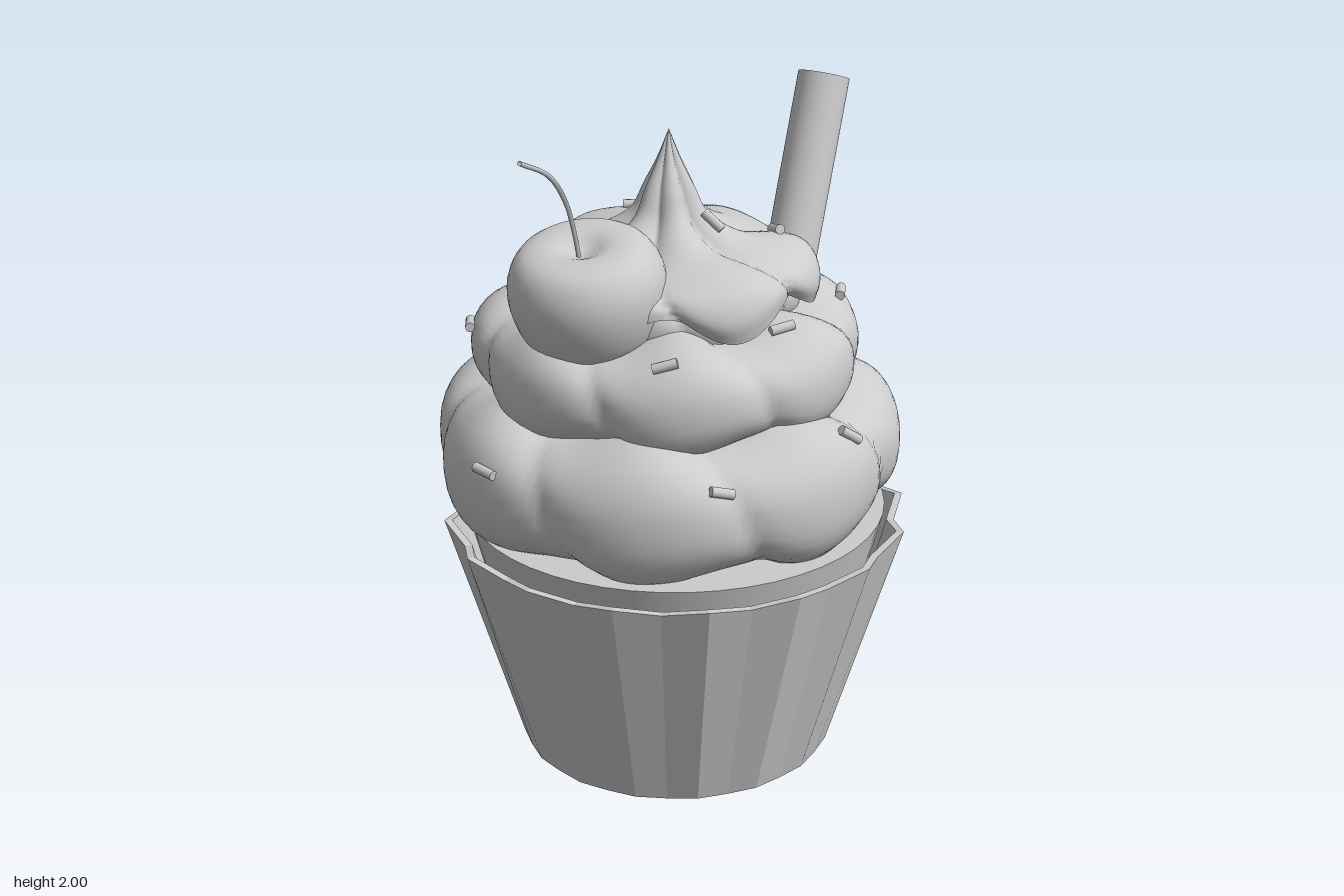
import * as THREE from 'three';

const TAU = Math.PI * 2;
const grey = (opts = {}) => new THREE.MeshStandardMaterial({ color: 0xcccccc, ...opts });
const softPow = (v, e) => Math.sign(v) * Math.pow(Math.abs(v), e);

// Surface swept around a vertical axis; fn(theta, t, i, j) returns [radius, y].
function sweep(cols, rows, cx, cz, closed, fn) {
  const pos = [], index = [];
  const rings = closed ? rows : rows + 1;
  for (let j = 0; j < rings; j++) {
    for (let i = 0; i < cols; i++) {
      const th = (i / cols) * TAU;
      const [r, y] = fn(th, j / rows, i, j);
      pos.push(cx + r * Math.cos(th), y, cz + r * Math.sin(th));
    }
  }
  for (let j = 0; j < rows; j++) {
    for (let i = 0; i < cols; i++) {
      const i2 = (i + 1) % cols, j2 = (j + 1) % rings;
      const a = j * cols + i, b = j * cols + i2, c = j2 * cols + i, d = j2 * cols + i2;
      index.push(a, c, b, b, c, d);
    }
  }
  const g = new THREE.BufferGeometry();
  g.setAttribute('position', new THREE.Float32BufferAttribute(pos, 3));
  g.setIndex(index);
  g.computeVertexNormals();
  return g;
}

// One shared normal per four-sided panel, so slightly twisted panels read as flat.
function panelled(geo) {
  const g = geo.toNonIndexed();
  g.computeVertexNormals();
  const nor = g.attributes.normal, a = new THREE.Vector3(), b = new THREE.Vector3();
  for (let k = 0; k < nor.count; k += 6) {
    a.fromBufferAttribute(nor, k).add(b.fromBufferAttribute(nor, k + 3)).normalize();
    for (let m = 0; m < 6; m++) nor.setXYZ(k + m, a.x, a.y, a.z);
  }
  return g;
}

export function createModel() {
  const root = new THREE.Group();
  const add = (name, geo, mat = grey(), parent = root) => {
    const m = new THREE.Mesh(geo, mat);
    m.name = name;
    parent.add(m);
    return m;
  };

  // Pleated paper cup: round at the base, 16 pleats at the rim, thin inner wall
  const CX = -0.045, CZ = 0.025;
  const cupRows = [
    // [radius in the pleat valley, radius on the ridge, y in the valley, y on the ridge]
    [0, 0, 0, 0], [0.472, 0.477, 0, 0], [0.66, 0.7, 0.712, 0.738],
    [0.637, 0.677, 0.712, 0.738], [0.57, 0.6, 0.45, 0.45],
  ];
  const cup = sweep(32, 4, CX, CZ, false, (th, t, i, j) => {
    const [rv, rr, yv, yr] = cupRows[j];
    return i % 2 ? [rv, yv] : [rr, yr];
  });
  // turn the pleats so that a ridge lies just beside the front centre
  cup.translate(-CX, 0, -CZ).rotateY(0.07).translate(CX, 0, CZ);
  add('paperCup', panelled(cup), grey({ side: THREE.DoubleSide }));

  // Cake showing just above the rim
  const cake = new THREE.CylinderGeometry(0.63, 0.55, 0.31, 48);
  add('cake', cake.translate(CX, 0.615, CZ));

  // Piped frosting: stacked rings of slanting, puffy lobes
  const frosting = new THREE.Group();
  frosting.name = 'frosting';
  root.add(frosting);
  const FX = -0.047, FZ = -0.027;
  const tiers = [
    { name: 'lowerSwirl', y: 0.95, h: 0.22, r: 0.42, a: 0.285, n: 7, ph: 0.8 },
    { name: 'middleSwirl', y: 1.25, h: 0.17, r: 0.32, a: 0.265, n: 7, ph: 2.2 },
    { name: 'upperSwirl', y: 1.43, h: 0.11, r: 0.21, a: 0.185, n: 6, ph: 1.2 },
  ];
  for (const { name, y, h, r, a, n, ph } of tiers) {
    const geo = sweep(168, 40, FX, FZ, true, (th, t) => {
      const f = t * TAU;
      const u = n * th - f + ph;
      const s = 0.83 + 0.17 * Math.pow(Math.abs(Math.sin(u / 2)), 0.75);
      return [r + a * s * softPow(Math.cos(f), 0.8),
        y + h * s * softPow(Math.sin(f), 0.85) + 0.02 * Math.sin(u)];
    });
    add(name, geo, grey(), frosting);
  }

  // Top dollop: wavy lip, flat shoulders and a ridged, pointed peak
  const peakCurve = new THREE.CatmullRomCurve3([
    [0.425, 1.44], [0.435, 1.49], [0.41, 1.54], [0.335, 1.58], [0.21, 1.61],
    [0.115, 1.67], [0.075, 1.75], [0.035, 1.83], [0, 1.915],
  ].map(([r, y]) => new THREE.Vector3(r, y, 0)));
  const peak = sweep(120, 36, FX + 0.005, FZ + 0.005, false, (th, t) => {
    const p = peakCurve.getPoint(t);
    const u = 6 * th - 4 * t + 1;
    const lobe = Math.pow(Math.abs(Math.sin(u / 2)), 0.8);
    const lip = Math.max(0, 1 - t * 2);
    return [p.x * (0.87 + 0.15 * lobe),
      p.y + lip * 0.04 * Math.sin(u + 0.6) - 0.025 * (1 - lobe) * Math.sin(Math.PI * t)];
  });
  add('frostingPeak', peak, grey({ side: THREE.DoubleSide }), frosting);

  // Cherry with a dimpled top, tipped outwards
  const cherryProfile = new THREE.SplineCurve([
    [0, -0.15], [0.09, -0.16], [0.18, -0.13], [0.222, -0.03], [0.222, 0.07],
    [0.175, 0.145], [0.09, 0.16], [0.03, 0.135], [0, 0.125],
  ].map(([x, y]) => new THREE.Vector2(x, y))).getPoints(28);
  cherryProfile[0].x = cherryProfile[28].x = 0;
  const cherry = add('cherry', new THREE.LatheGeometry(cherryProfile, 40));
  cherry.position.set(-0.365, 1.51, 0.117);
  cherry.rotation.set(0.14, 0, 0.17);

  // Curved cherry stem
  const stemPath = new THREE.CatmullRomCurve3([
    [-0.395, 1.6, 0.135], [-0.415, 1.7, 0.145], [-0.455, 1.81, 0.18],
    [-0.535, 1.92, 0.25], [-0.65, 1.993, 0.325],
  ].map((p) => new THREE.Vector3(...p)));
  add('cherryStem', new THREE.TubeGeometry(stemPath, 28, 0.007, 8), grey({ side: THREE.DoubleSide }));

  // Open straw leaning out of the frosting
  const top = new THREE.Vector3(0.683, 1.888, -0.405), foot = new THREE.Vector3(0.39, 1.0, -0.2);
  const axis = top.clone().sub(foot);
  const straw = add('straw', new THREE.CylinderGeometry(0.081, 0.081, axis.length(), 32, 1, true),
    grey({ side: THREE.DoubleSide }));
  straw.position.copy(top).add(foot).multiplyScalar(0.5);
  straw.quaternion.setFromUnitVectors(new THREE.Vector3(0, 1, 0), axis.normalize());

  // Sprinkles: [x, y, z, heading x, heading z], settled onto the frosting
  const sprinkles = [
    [-0.2, 1.07, 0.64, 1, 0.5], [0.26, 1.12, 0.55, 1, 0.3], [0.11, 1.4, 0.37, 1, 0],
    [-0.26, 1.36, 0.4, 1, 0.3], [0.24, 1.55, 0.05, -0.2, 1], [0.04, 1.64, 0.08, 0.6, 1],
    [0.42, 1.35, 0.1, -0.6, 1], [-0.02, 1.56, -0.28, 1, 0.5], [0.63, 1.06, -0.15, 0.1, 1],
    [0.22, 1.36, -0.45, 0.7, 1], [-0.17, 1.36, -0.47, 1, -0.6], [0.12, 1.07, -0.69, 1, 0.1],
    [-0.43, 1.08, -0.62, 1, -0.8], [-0.54, 1.3, -0.27, 0.3, -1], [-0.72, 1.05, 0.16, 0.1, 1],
  ];
  const sprinkleGroup = new THREE.Group();
  sprinkleGroup.name = 'sprinkles';
  root.add(sprinkleGroup);
  const sprinkleGeo = new THREE.CylinderGeometry(0.015, 0.015, 0.072, 10);
  const ray = new THREE.Raycaster();
  for (const [x, y, z, hx, hz] of sprinkles) {
    const p = new THREE.Vector3(x, y, z);
    const n = new THREE.Vector3(x - FX, 0.3, z - FZ).normalize();
    ray.set(p.clone().addScaledVector(n, 0.2), n.clone().negate());
    const hit = ray.intersectObjects(frosting.children, false)[0];
    if (hit && hit.point.distanceTo(p) < 0.15) {
      p.copy(hit.point);
      n.copy(hit.face.normal);
    }
    const dir = new THREE.Vector3(hx, 0, hz).projectOnPlane(n).normalize();
    const m = add('sprinkle', sprinkleGeo, grey(), sprinkleGroup);
    m.position.copy(p).addScaledVector(n, 0.008);
    m.quaternion.setFromUnitVectors(new THREE.Vector3(0, 1, 0), dir);
  }
  return root;
}
